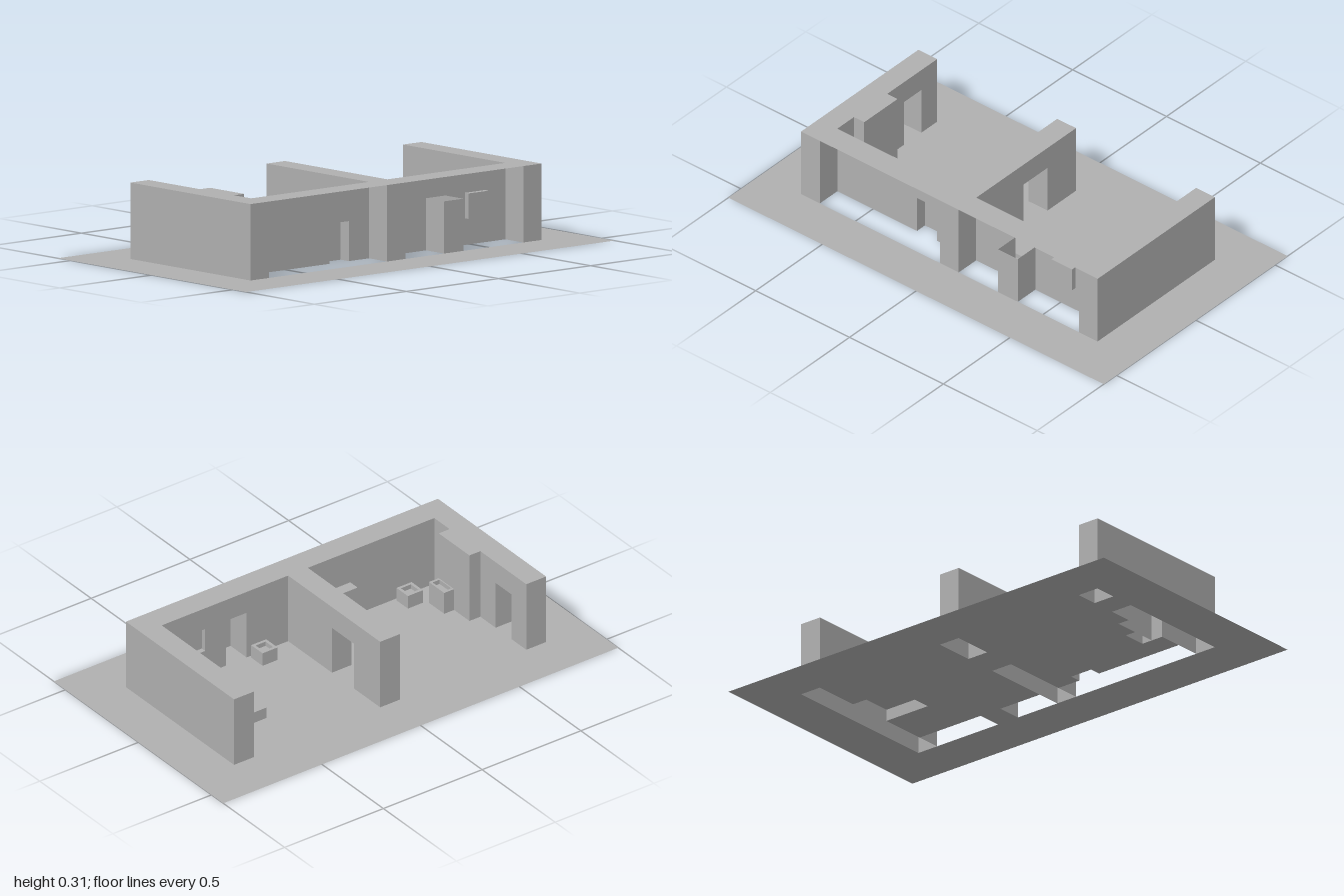
import * as THREE from 'three';

const H = 0.315; // wall height
const DOOR = 0.215; // door height

export function createModel() {
  const model = new THREE.Group();
  const grey = new THREE.MeshStandardMaterial({ color: 0xb0b0b0, side: THREE.DoubleSide });
  grey.name = 'plaster grey';

  const add = (name, geometry, parent = model) => {
    const mesh = new THREE.Mesh(geometry, grey);
    mesh.name = name;
    parent.add(mesh);
    return mesh;
  };
  const path = (Type, points) => new Type(points.map(([x, y]) => new THREE.Vector2(x, y)));
  const rect = (x0, z0, x1, z1) => [[x0, z0], [x1, z0], [x1, z1], [x0, z1]];

  // Level sheet from [x, z] outlines at a given height, facing up
  const slab = (name, outline, y = 0, holes = [], parent = model) => {
    const flip = (pts) => pts.map(([x, z]) => [x, -z]);
    const shape = path(THREE.Shape, flip(outline));
    holes.forEach((h) => shape.holes.push(path(THREE.Path, flip(h))));
    const geometry = new THREE.ShapeGeometry(shape).rotateX(-Math.PI / 2).translate(0, y, 0);
    return add(name, geometry, parent);
  };

  // Upright sheet from a to b; openings are [start, end, bottom, top] along it
  const panel = (name, a, b, height = H, openings = [], parent = model) => {
    const dx = b[0] - a[0], dz = b[1] - a[1];
    const length = Math.hypot(dx, dz);
    const outline = [[0, 0]];
    const holes = [];
    for (const [s, e, y0, y1] of openings) {
      if (y0 === 0) outline.push([s, 0], [s, y1], [e, y1], [e, 0]);
      else holes.push(rect(s, y0, e, y1));
    }
    outline.push([length, 0], [length, height], [0, height]);
    const shape = path(THREE.Shape, outline);
    holes.forEach((h) => shape.holes.push(path(THREE.Path, h)));
    const mesh = add(name, new THREE.ShapeGeometry(shape), parent);
    mesh.position.set(a[0], 0, a[1]);
    mesh.rotation.y = Math.atan2(-dz, dx);
    return mesh;
  };
  const panels = (name, points, height, parent = model) => {
    for (let i = 0; i + 1 < points.length; i++) panel(name, points[i], points[i + 1], height, [], parent);
  };

  // Ground sheet, cut away under the walls and fittings but kept in doorways
  slab('ground', rect(-1, -0.58, 1, 0.58), 0, [
    rect(-0.79, -0.37, -0.69, -0.27),
    rect(-0.05, -0.37, 0.05, -0.19),
    [[-0.79, -0.16], [-0.69, -0.16], [-0.69, -0.055], [-0.635, -0.055], [-0.635, 0.05],
      [-0.585, 0.05], [-0.585, 0.155], [-0.69, 0.155], [-0.69, 0.26], [-0.265, 0.26],
      [-0.265, 0.21], [-0.16, 0.21], [-0.16, 0.26], [-0.05, 0.26], [-0.05, -0.04],
      [0.05, -0.04], [0.05, 0.26], [0.26, 0.26], [0.26, 0.37], [-0.79, 0.37]],
    [[0.365, 0.26], [0.69, 0.26], [0.69, 0.05], [0.47, 0.05], [0.47, -0.16],
      [0.69, -0.16], [0.69, -0.37], [0.79, -0.37], [0.79, 0.37], [0.365, 0.37]],
  ]);

  // Continuous top of the walls
  slab('wallTop', [[-0.79, 0.37], [0.79, 0.37], [0.79, -0.37], [0.69, -0.37], [0.69, 0.26],
    [0.05, 0.26], [0.05, -0.37], [-0.05, -0.37], [-0.05, 0.26], [-0.69, 0.26],
    [-0.69, 0.155], [-0.635, 0.155], [-0.635, -0.055], [-0.69, -0.055], [-0.69, -0.37],
    [-0.79, -0.37]], H);

  // Outer side walls and the back ends of the three long walls
  for (const side of [-1, 1]) panel('outerSideWall', [side * 0.79, -0.37], [side * 0.79, 0.37]);
  for (const x of [-0.74, 0, 0.74]) panel('wallEnd', [x + 0.05, -0.37], [x - 0.05, -0.37]);

  // Front pillars, with the bays between them left open
  for (const x of [-0.74, 0, 0.74]) panel('frontPillar', [x - 0.05, 0.37], [x + 0.05, 0.37]);
  for (const x of [-0.69, -0.05, 0.05, 0.69]) panel('pillarSide', [x, 0.26], [x, 0.37]);

  // Inner walls
  panel('rightRoomSideWall', [0.69, -0.37], [0.69, 0.26]);
  panel('leftRoomSideWall', [-0.69, -0.37], [-0.69, -0.055], H, [[0.1, 0.21, 0, DOOR]]);
  panels('chimneyBreast', [[-0.69, -0.055], [-0.635, -0.055], [-0.635, 0.155], [-0.69, 0.155], [-0.69, 0.26]], H);
  panel('leftRoomFrontWall', [-0.69, 0.26], [-0.05, 0.26], H, [[0.425, 0.53, 0, 0.165]]);
  panel('rightRoomFrontWall', [0.05, 0.26], [0.69, 0.26], H,
    [[0.21, 0.315, 0, DOOR], [0.42, 0.53, 0.11, DOOR]]);
  for (const x of [-0.05, 0.05]) panel('dividingWall', [x, -0.37], [x, 0.26], H, [[0.18, 0.33, 0, DOOR]]);

  // Doorways
  for (const z of [-0.19, -0.04]) panel('dividerDoorJamb', [-0.05, z], [0.05, z], DOOR);
  slab('dividerDoorLintel', rect(-0.05, -0.19, 0.05, -0.04), DOOR);
  for (const z of [-0.27, -0.16]) panel('sideDoorJamb', [-0.79, z], [-0.69, z], DOOR);
  panels('frontDoorRecess', [[0.26, 0.26], [0.26, 0.37], [0.365, 0.37], [0.365, 0.26]], DOOR);

  // Shallow window recess
  const recess = new THREE.Group();
  recess.name = 'windowRecess';
  recess.position.y = 0.11;
  model.add(recess);
  panels('windowReveal', [[0.47, 0.26], [0.47, 0.283], [0.58, 0.283], [0.58, 0.26]], 0.105, recess);
  for (const y of [0, 0.105]) slab('windowSill', rect(0.47, 0.26, 0.58, 0.283), y, [], recess);

  // Hollow cupboard on the front wall
  panels('cupboardSide', [[-0.265, 0.26], [-0.265, 0.21], [-0.16, 0.21], [-0.16, 0.26]], 0.165);
  slab('cupboardTop', rect(-0.265, 0.21, -0.16, 0.26), 0.165);

  // Low bed against the side wall
  panels('bedSide', [[0.69, -0.16], [0.47, -0.16], [0.47, 0.05], [0.69, 0.05]], 0.05);
  slab('bedTop', rect(0.47, -0.16, 0.69, 0.05), 0.05);

  // Boxes with a sunken top
  const tray = (name, outer, inner, height, depth) => {
    const group = new THREE.Group();
    group.name = name;
    model.add(group);
    const o = rect(...outer), i = rect(...inner);
    panels('trayWall', [...o, o[0]], height, group);
    slab('trayRim', o, height, [i], group);
    const lining = new THREE.Group();
    lining.name = 'trayLining';
    lining.position.y = height - depth;
    group.add(lining);
    panels('liningWall', [...i, i[0]], depth, lining);
    slab('trayBase', i, 0, [], lining);
  };
  tray('basin', [-0.635, 0.05, -0.585, 0.155], [-0.63, 0.062, -0.595, 0.143], 0.1, 0.02);
  for (const x of [-0.528, 0.208]) {
    tray('stool', [x - 0.038, 0.17, x + 0.038, 0.248], [x - 0.025, 0.183, x + 0.025, 0.235], 0.06, 0.02);
  }

  return model;
}
